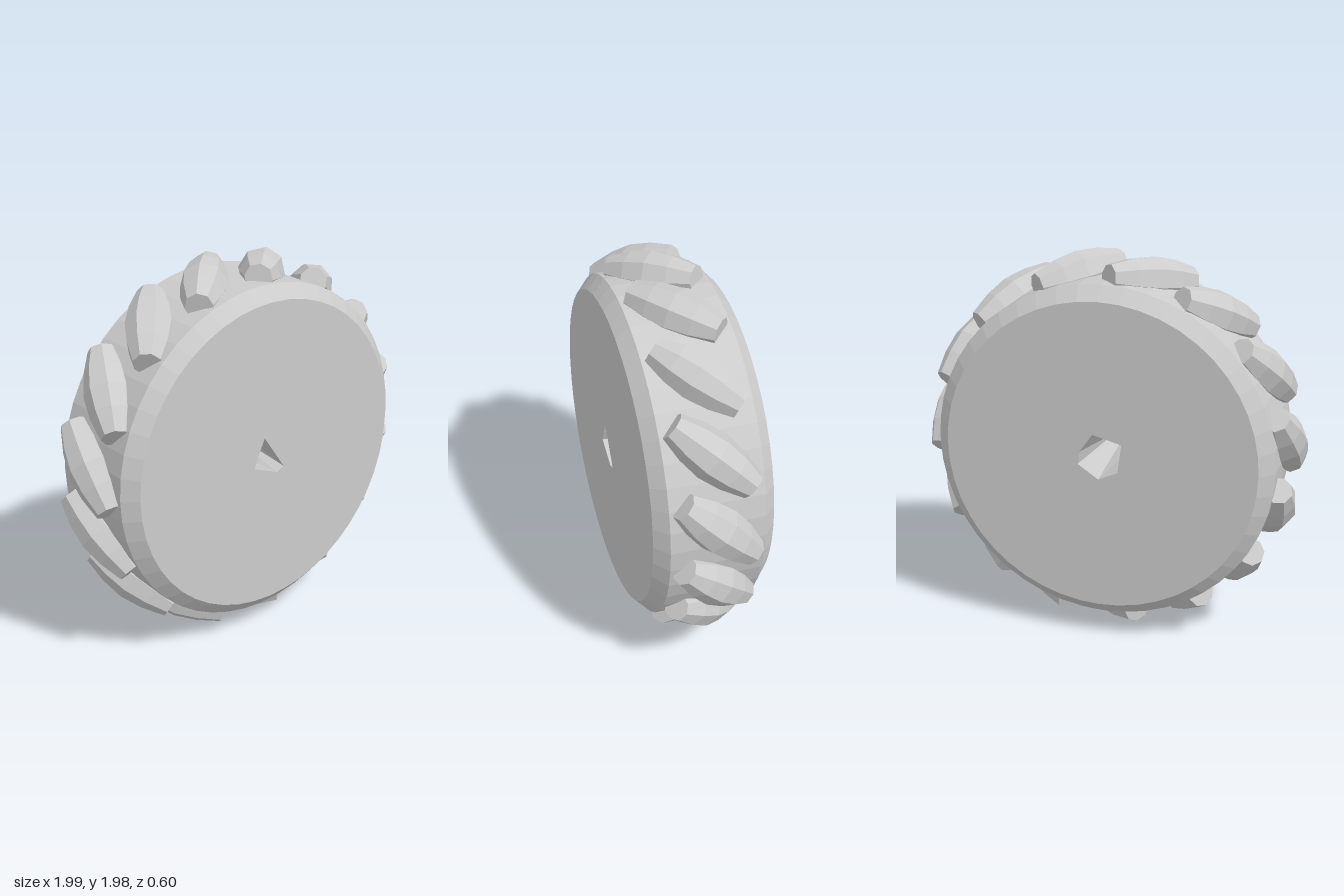
import * as THREE from 'three';

const SIDES = 48, RIM = 0.81, TREAD = 0.88, HALF = 0.3, SHOULDER = 0.235;
const ROLLERS = 15;

// Corners of the axle bore on each face, clockwise from the top
const FRONT_BORE = [[-0.045, 0.11], [0.02, 0.015], [0.085, -0.08], [0.04, -0.1], [-0.11, -0.04], [-0.08, 0.035]];
const BACK_BORE = [[0.03, 0.13], [0.1, 0.03], [0.108, -0.035], [0, -0.107], [-0.1, -0.06], [-0.12, 0.09]];

const material = new THREE.MeshStandardMaterial({ color: 0xcccccc, flatShading: true });
const innerMaterial = material.clone();
innerMaterial.side = THREE.DoubleSide;

function addMesh(parent, name, geometry, mat = material) {
  const mesh = new THREE.Mesh(geometry, mat);
  mesh.name = name;
  parent.add(mesh);
  return mesh;
}

// Flat disc facing +z with the bore cut out
function discGeometry(bore) {
  const ring = [];
  for (let i = 0; i < SIDES; i++) {
    const a = (i / SIDES) * Math.PI * 2;
    ring.push(new THREE.Vector2(RIM * Math.cos(a), RIM * Math.sin(a)));
  }
  const shape = new THREE.Shape(ring);
  shape.holes.push(new THREE.Path(bore.map(([x, y]) => new THREE.Vector2(x, y))));
  return new THREE.ShapeGeometry(shape);
}

// Walls joining the front and back outlines of the bore
function boreGeometry() {
  const positions = [], index = [], n = FRONT_BORE.length;
  for (let i = 0; i < n; i++) {
    positions.push(...FRONT_BORE[i], HALF, ...BACK_BORE[i], -HALF);
    const a = 2 * i, b = 2 * ((i + 1) % n);
    index.push(a, b, a + 1, b, b + 1, a + 1);
  }
  const geometry = new THREE.BufferGeometry();
  geometry.setAttribute('position', new THREE.Float32BufferAttribute(positions, 3));
  geometry.setIndex(index);
  geometry.computeVertexNormals();
  return geometry;
}

// Faceted barrel, widest at the middle, with flat ends
function rollerGeometry() {
  const profile = [[0, -0.24], [0.07, -0.24], [0.105, -0.12], [0.12, 0], [0.105, 0.12], [0.07, 0.24], [0, 0.24]];
  return new THREE.LatheGeometry(profile.map(([r, y]) => new THREE.Vector2(r, y)), 8);
}

export function createModel() {
  const model = new THREE.Group();
  model.name = 'rollerWheel';
  const wheel = new THREE.Group();
  wheel.name = 'wheel';
  wheel.position.y = 1;
  model.add(wheel);

  // Drum with chamfered shoulders
  const profile = [[RIM, -HALF], [TREAD, -SHOULDER], [TREAD, SHOULDER], [RIM, HALF]];
  const drum = new THREE.LatheGeometry(profile.map(([r, y]) => new THREE.Vector2(r, y)), SIDES);
  drum.rotateX(Math.PI / 2);
  addMesh(wheel, 'drum', drum);

  // Side faces and the bore between them
  addMesh(wheel, 'frontFace', discGeometry(FRONT_BORE)).position.z = HALF;
  const backFace = addMesh(wheel, 'backFace', discGeometry(BACK_BORE.map(([x, y]) => [-x, y])));
  backFace.rotation.y = Math.PI;
  backFace.position.z = -HALF;
  addMesh(wheel, 'axleBore', boreGeometry(), innerMaterial);

  // Slanted rollers round the tread, each set at 45 degrees to the axle
  const geometry = rollerGeometry();
  for (let i = 0; i < ROLLERS; i++) {
    const mount = new THREE.Group();
    mount.name = 'rollerMount';
    mount.rotation.z = -Math.PI / 2 + (i / ROLLERS) * Math.PI * 2;
    const roller = addMesh(mount, 'roller', geometry);
    roller.position.x = TREAD;
    roller.rotation.x = Math.PI / 4;
    wheel.add(mount);
  }
  return model;
}
